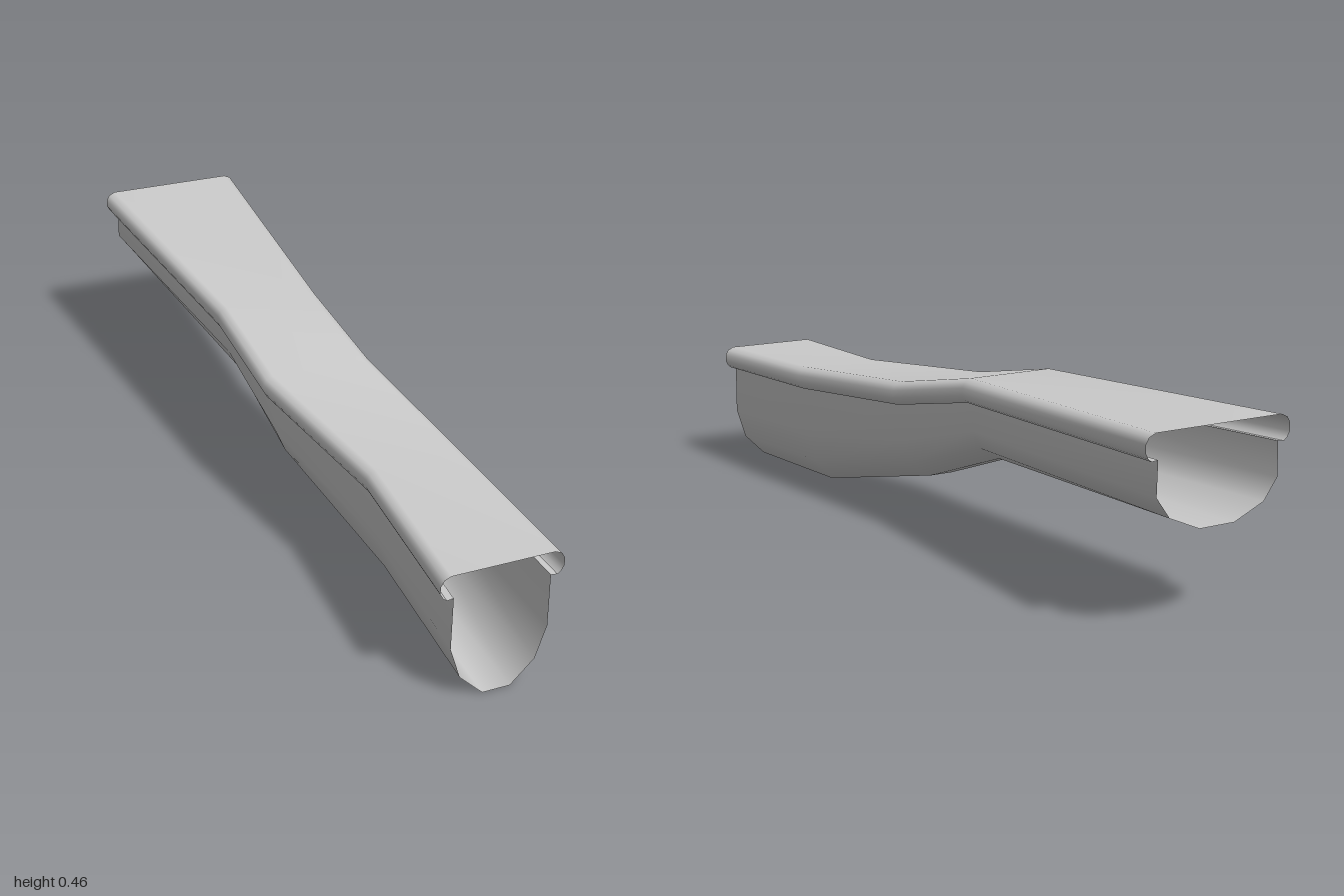
import * as THREE from 'three';

// Stations along the channel: z, centre x, cover half width, cover height, bottom height
const stations = [
  [1.0, 0.067, 0.150, 0.337, 0.0],
  [0.56, 0.067, 0.130, 0.347, 0.014],
  [0.1, 0.007, 0.148, 0.380, 0.115],
  [-0.2, -0.013, 0.142, 0.437, 0.222],
  [-1.0, -0.020, 0.198, 0.463, 0.237],
];
const LIP = 0.061;    // height of the rounded cover edge
const INSET = 0.031;  // overhang of the cover past the wall

const material = new THREE.MeshStandardMaterial({ color: 0xcccccc, side: THREE.DoubleSide });

// Skin an open cross-section, listed clockwise seen from the front, through all stations
function loft(name, section) {
  const positions = [], index = [];
  let n = 0;
  for (const [z, cx, half, top, bottom] of stations) {
    const points = section(half, top, bottom);
    n = points.length;
    for (const [x, y] of points) positions.push(cx + x, y, z);
  }
  for (let j = 0; j < stations.length - 1; j++) {
    for (let i = 0; i < n - 1; i++) {
      const a = j * n + i, b = a + 1, c = a + n, d = c + 1;
      index.push(a, b, c, b, d, c);
    }
  }
  const geometry = new THREE.BufferGeometry();
  geometry.setAttribute('position', new THREE.Float32BufferAttribute(positions, 3));
  geometry.setIndex(index);
  geometry.computeVertexNormals();
  const mesh = new THREE.Mesh(geometry, material);
  mesh.name = name;
  return mesh;
}

// Mirror a right half profile to give the full one, left to right
const mirror = (right) => [...right.map(([x, y]) => [-x, y]).reverse(), ...right];

// Flat top with rounded lips
const coverSection = (h, top) => mirror([
  [h - 0.025, top],
  [h - 0.008, top - 0.008],
  [h, top - 0.022],
  [h, top - 0.041],
  [h - 0.007, top - 0.054],
  [h - 0.016, top - LIP],
]);

// Rounded trough below the cover: fractions of half width and depth
const troughSection = (h, top, bottom) => {
  const w = h - INSET, rim = top - LIP + 0.002, depth = rim - bottom;
  const right = [[0.29, 1], [0.78, 0.79], [1, 0.49], [0.99, 0]]
    .map(([fx, fy]) => [fx * w, rim - fy * depth]);
  return mirror(right).reverse();
};

// Narrow ledge joining lip and wall
const ledgeSection = (side) => (h, top) => {
  const ledge = [[side * (h - 0.016), top - LIP], [side * (h - INSET) * 0.99, top - LIP + 0.002]];
  return side > 0 ? ledge : ledge.reverse();
};

export function createModel() {
  const group = new THREE.Group();
  group.name = 'channel';
  group.add(
    loft('cover', coverSection),
    loft('trough', troughSection),
    loft('leftLedge', ledgeSection(1)),
    loft('rightLedge', ledgeSection(-1)),
  );
  return group;
}
